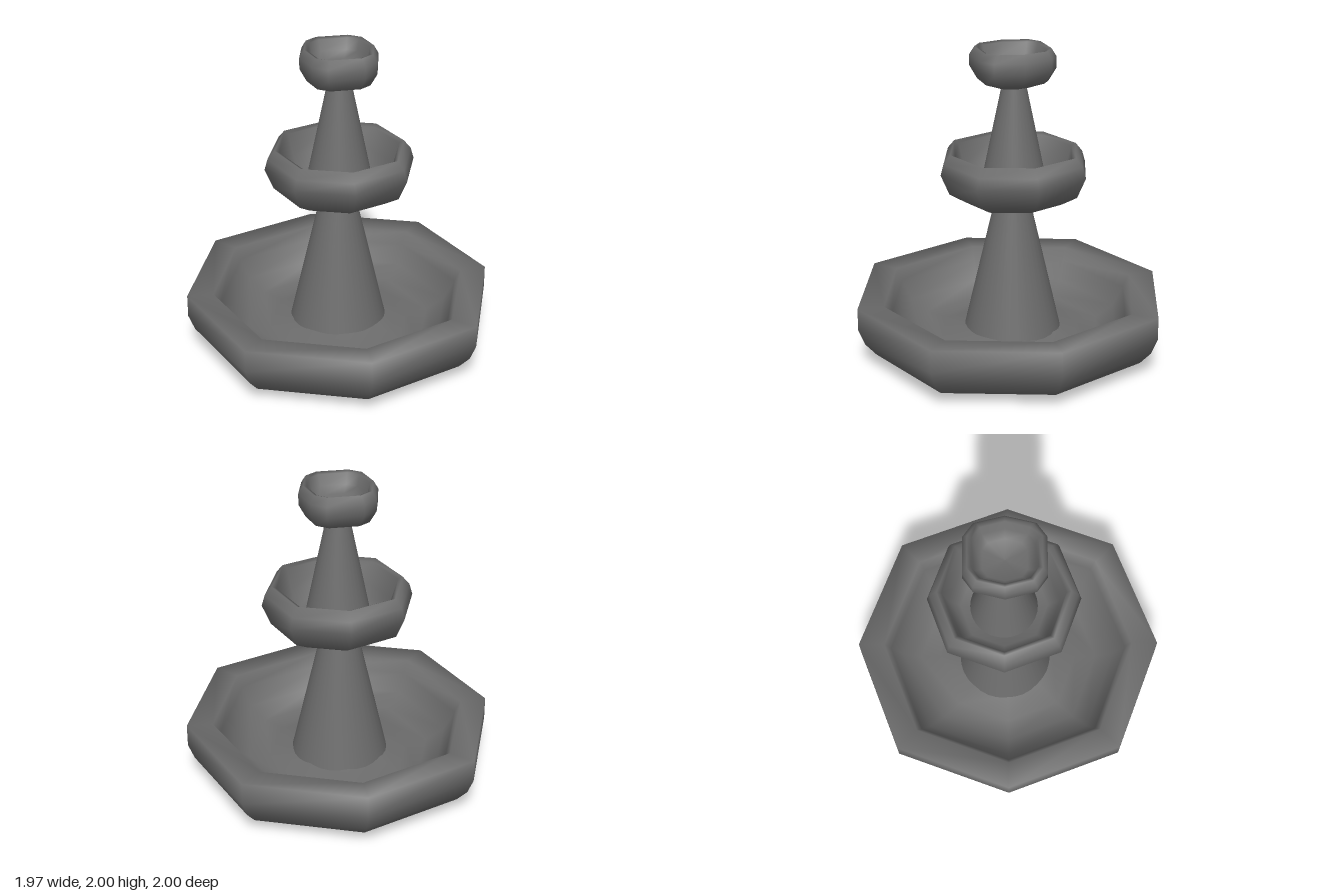
import * as THREE from 'three';

// Mirrors a quarter outline of [x, z] points, starting on +x, into a closed loop
function fullOutline(quarter) {
  const points = [];
  for (const [sx, sz] of [[1, 1], [-1, 1], [-1, -1], [1, -1]]) {
    const part = quarter.map(([x, z]) => [x * sx, z * sz]);
    if (sx * sz < 0) part.reverse();
    for (const p of part) {
      if (!points.some((q) => Math.hypot(q[0] - p[0], q[1] - p[1]) < 1e-6)) points.push(p);
    }
  }
  return points;
}

// Sweeps a [radius, y] profile around an outline, with shared smooth normals
function bowlGeometry(outline, profile) {
  const n = outline.length;
  const positions = [];
  const index = [];
  for (const [r, y] of profile) {
    for (const [x, z] of outline) positions.push(x * r, y, z * r);
  }
  for (let i = 0; i < profile.length - 1; i++) {
    for (let j = 0; j < n; j++) {
      const a = i * n + j;
      const b = i * n + ((j + 1) % n);
      if (profile[i][0] > 0) index.push(a, a + n, b);
      if (profile[i + 1][0] > 0) index.push(b, a + n, b + n);
    }
  }
  const geometry = new THREE.BufferGeometry();
  geometry.setAttribute('position', new THREE.Float32BufferAttribute(positions, 3));
  geometry.setIndex(index);
  geometry.computeVertexNormals();
  return geometry;
}

export function createModel() {
  const group = new THREE.Group();
  const stone = new THREE.MeshStandardMaterial({ color: 0x6c6c6c });
  stone.name = 'grey stone';

  const add = (name, geometry, x, y, z) => {
    const mesh = new THREE.Mesh(geometry, stone);
    mesh.name = name;
    mesh.position.set(x, y, z);
    group.add(mesh);
  };

  // Large octagonal basin with a broad rim, steep inner wall and a low mound in the middle
  const basinOutline = fullOutline([[0.985, 0], [0.717, 0.725], [0, 1]]);
  add('basin', bowlGeometry(basinOutline, [
    [0, 0], [0.72, 0], [0.89, 0.08], [0.96, 0.16], [1, 0.26], [1, 0.405],
    [0.83, 0.4], [0.79, 0.32], [0.72, 0.2], [0.6, 0.13], [0.46, 0.12], [0.3, 0.18], [0, 0.2],
  ]), 0, 0, 0);

  // Middle octagonal bowl with a rolled rim
  const middleOutline = fullOutline([[1, 0], [0.73, 0.73], [0, 1]]);
  add('middleBowl', bowlGeometry(middleOutline, [
    [0, 1.005], [0.1, 1.01], [0.32, 1.04], [0.42, 1.1], [0.475, 1.23], [0.455, 1.3], [0.41, 1.355],
    [0.38, 1.34], [0.345, 1.2], [0.27, 1.12], [0, 1.09],
  ]), 0.01, 0, -0.024);

  // Small upper bowl with a rounder outline
  const upperOutline = fullOutline([[1, 0], [0.81, 0.75], [0.46, 1]]);
  add('upperBowl', bowlGeometry(upperOutline, [
    [0, 1.75], [0.1, 1.76], [0.2, 1.8], [0.243, 1.88], [0.243, 1.95], [0.214, 2],
    [0.19, 1.99], [0.175, 1.92], [0.13, 1.88], [0, 1.87],
  ]), 0.004, 0, -0.018);

  // Tapered columns: name, top radius, bottom radius, bottom y, top y, x, z
  for (const [name, rTop, rBottom, y0, y1, x, z] of [
    ['lowerColumn', 0.105, 0.316, 0.13, 1.04, -0.002, -0.018],
    ['upperColumn', 0.072, 0.22, 1.07, 1.78, 0.008, -0.025],
  ]) {
    add(name, new THREE.CylinderGeometry(rTop, rBottom, y1 - y0, 32), x, (y0 + y1) / 2, z);
  }

  return group;
}
